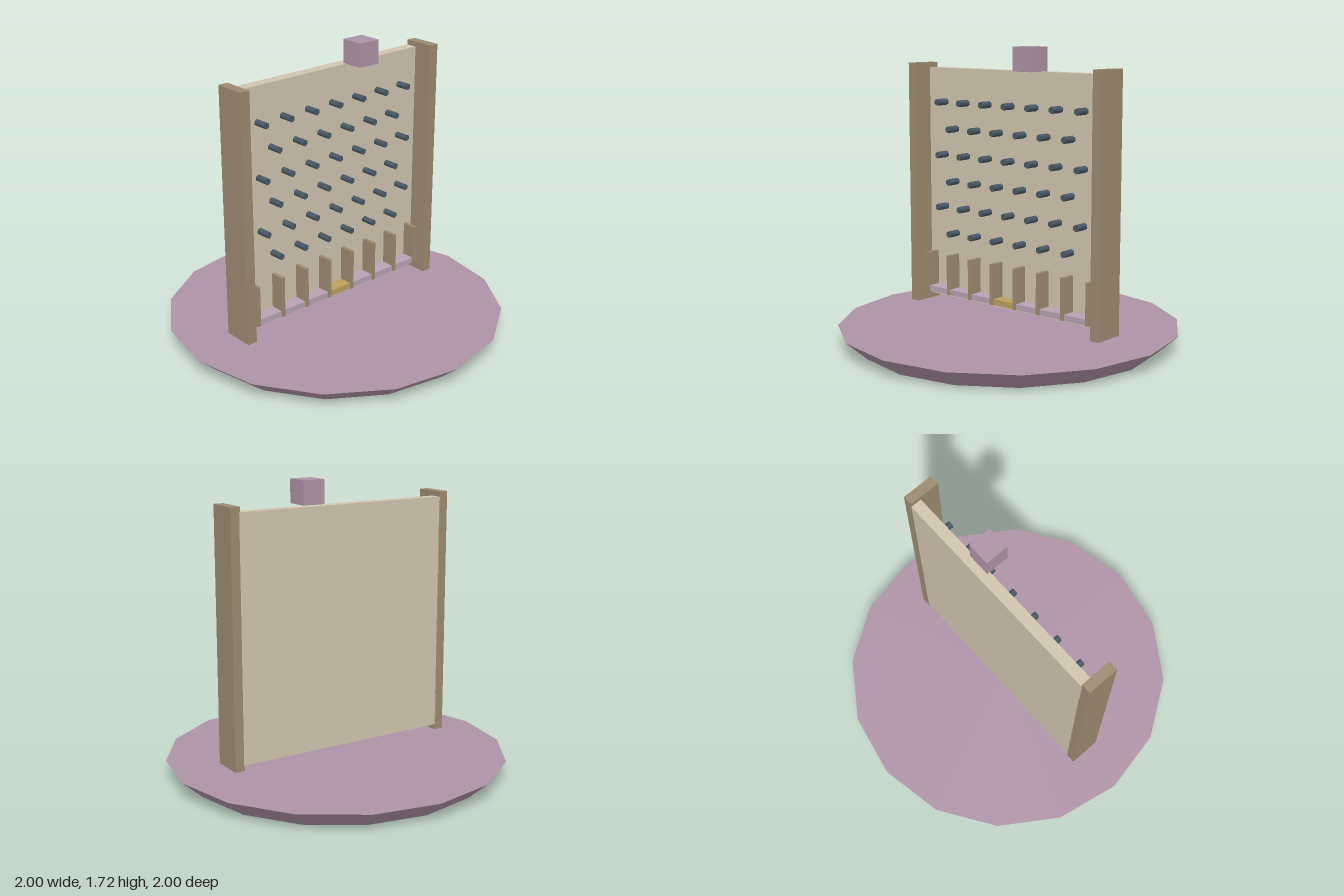
import * as THREE from 'three';

const mat = (color) => new THREE.MeshStandardMaterial({ color });
const tan = mat(0xd0c4ae), wood = mat(0x9c8a70), mauve = mat(0xae92a6);
const lilac = mat(0xb6a3b4), gold = mat(0xbc9f5f), steel = mat(0x4a5a66);

// Box given by its limits on each axis
function box(name, [x0, x1], [y0, y1], [z0, z1], material) {
  const mesh = new THREE.Mesh(new THREE.BoxGeometry(x1 - x0, y1 - y0, z1 - z0), material);
  mesh.position.set((x0 + x1) / 2, (y0 + y1) / 2, (z0 + z1) / 2);
  mesh.name = name;
  return mesh;
}

export function createModel() {
  const model = new THREE.Group();
  model.name = 'pegBoardGame';

  // Flared sixteen-sided base, with the board floating just above it
  const base = new THREE.Mesh(new THREE.CylinderGeometry(1, 0.88, 0.106, 16), mauve);
  base.position.y = 0.053;
  base.name = 'base';
  model.add(base);

  // Back board and side rails
  model.add(box('backBoard', [-0.67, 0.67], [0.172, 1.578], [-0.094, -0.028], tan));
  for (const s of [-1, 1]) {
    const rail = box(s > 0 ? 'leftRail' : 'rightRail', [-0.029, 0.029], [0.14, 1.608], [-0.094, 0.094], wood);
    rail.position.x = s * 0.695;
    model.add(rail);
  }

  // Drop block on the top edge
  model.add(box('dropBlock', [0.106, 0.244], [1.58, 1.718], [-0.046, 0.094], mauve));

  // Staggered rows of hexagonal pegs
  const step = 0.1765;
  const pegs = new THREE.Group();
  pegs.name = 'pegs';
  const pegGeometry = new THREE.CylinderGeometry(0.02, 0.02, 0.082, 6).rotateX(Math.PI / 2);
  for (let row = 0; row < 6; row++) {
    const count = row % 2 ? 6 : 7;
    for (let i = 0; i < count; i++) {
      const peg = new THREE.Mesh(pegGeometry, steel);
      peg.position.set((i - (count - 1) / 2) * step, 1.375 - row * 0.159, 0.012);
      peg.name = 'peg';
      pegs.add(peg);
    }
  }
  model.add(pegs);

  // Bin dividers and floors, with a gold floor in the middle
  const bins = new THREE.Group();
  bins.name = 'bins';
  for (let i = 0; i < 8; i++) {
    const x = (i - 3.5) * step;
    bins.add(box('divider', [x - 0.011, x + 0.011], [0.205, 0.45], [-0.028, 0.06], wood));
    if (i < 7) bins.add(box('binFloor', [x + 0.005, x + step - 0.005], [0.206, 0.24], [-0.028, 0.053], i === 3 ? gold : lilac));
  }
  model.add(bins);

  return model;
}
